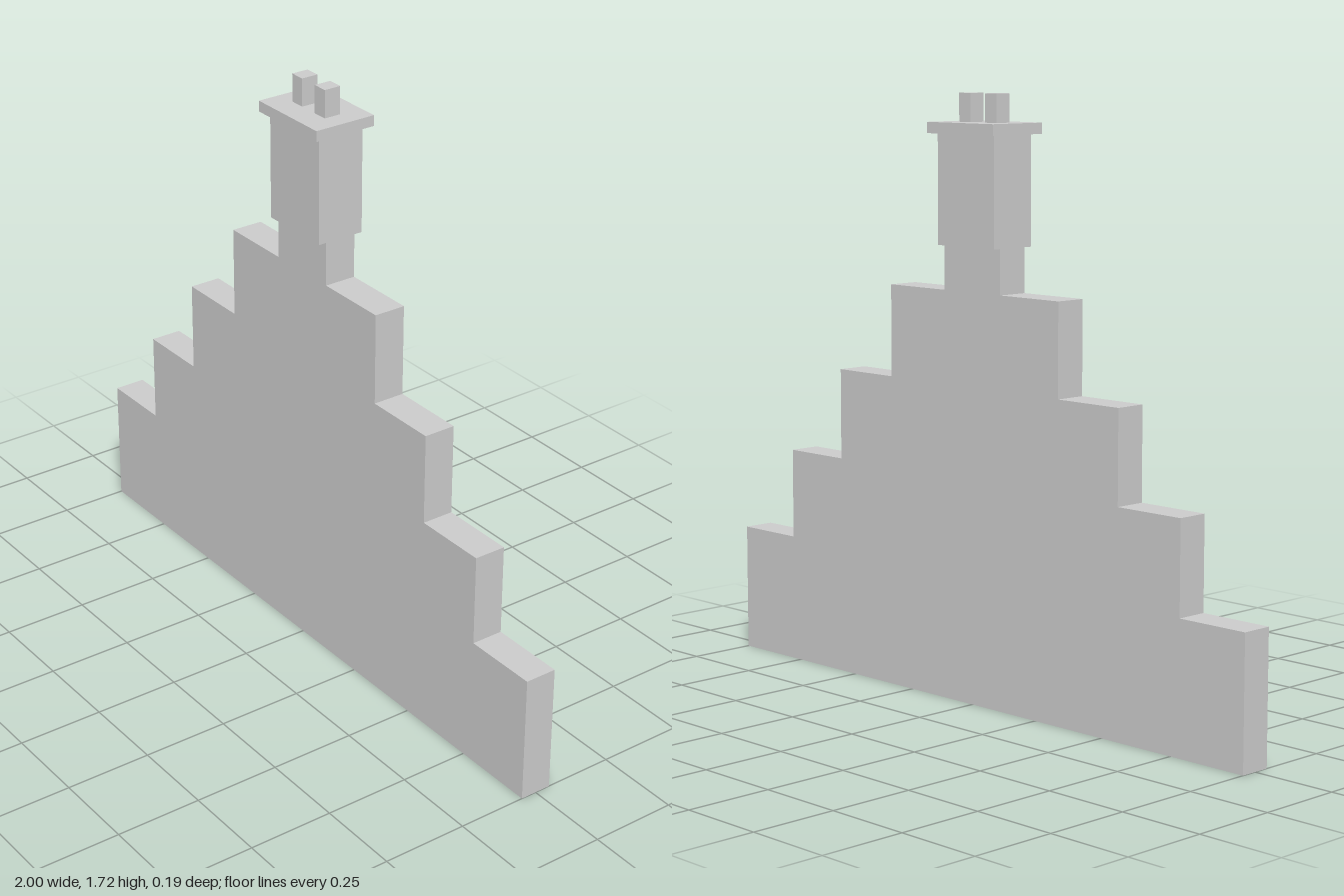
import * as THREE from 'three';

export function createModel() {
  const model = new THREE.Group();
  const material = new THREE.MeshStandardMaterial({ color: 0xcccccc });

  const addMesh = (name, geometry, x, y, z, parent = model) => {
    const mesh = new THREE.Mesh(geometry, material);
    mesh.name = name;
    mesh.position.set(x, y, z);
    parent.add(mesh);
    return mesh;
  };

  // Box placed by its bottom and top heights
  const addBox = (name, x, bottom, top, width, depth, parent) =>
    addMesh(name, new THREE.BoxGeometry(width, top - bottom, depth), x, (bottom + top) / 2, 0, parent);

  // Stepped gable wall: equal treads rising to a stub under the chimney
  const stepTops = [0.375, 0.64, 0.905, 1.17, 1.33];
  const tread = 2 / 9;
  const half = [[1, 0]];
  stepTops.forEach((top, i) => {
    const x = 1 - i * tread;
    half.push([x, top]);
    if (i < stepTops.length - 1) half.push([x - tread, top]);
  });
  const mirrored = half.map(([x, y]) => [-x, y]).reverse();
  const outline = new THREE.Shape([...half, ...mirrored].map(([x, y]) => new THREE.Vector2(x, y)));
  const wallDepth = 0.094;
  const wall = new THREE.ExtrudeGeometry(outline, { depth: wallDepth, bevelEnabled: false });
  addMesh('steppedGableWall', wall, 0, 0, -wallDepth / 2);

  // Chimney: shaft, overhanging cap and two square pots
  const chimney = new THREE.Group();
  chimney.name = 'chimney';
  model.add(chimney);
  addBox('chimneyShaft', 0, 1.297, 1.607, tread, 0.143, chimney);
  addBox('chimneyCap', 0, 1.607, 1.638, 0.262, 0.188, chimney);
  for (const [name, side] of [['leftPot', 1], ['rightPot', -1]]) {
    addBox(name, side * 0.051, 1.638, 1.718, 0.045, 0.05, chimney);
  }

  return model;
}
